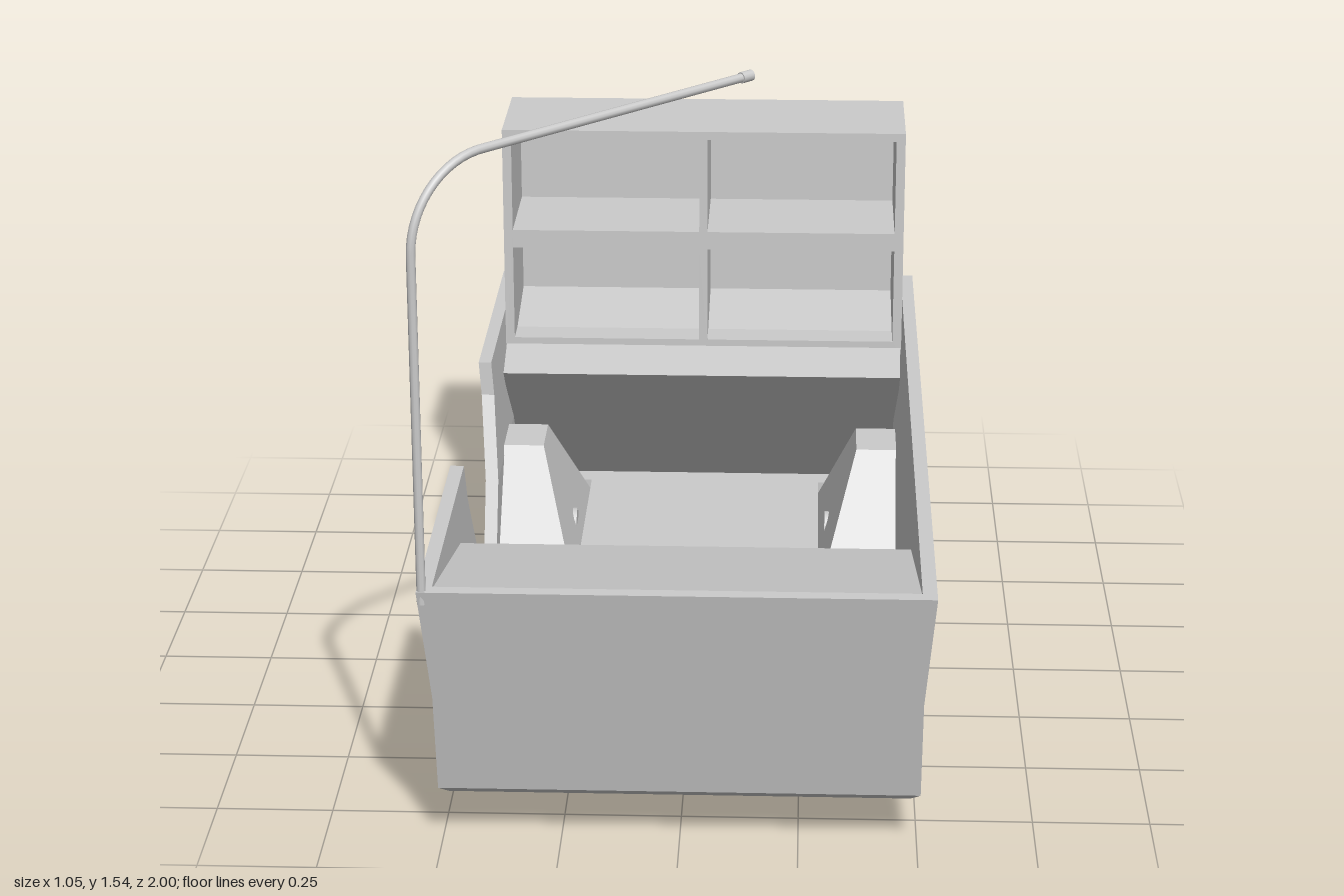
import * as THREE from 'three';
import { toCreasedNormals } from 'three/addons/utils/BufferGeometryUtils.js';

const solid = new THREE.MeshStandardMaterial({ color: 0xcccccc });
const panel = new THREE.MeshStandardMaterial({ color: 0xcccccc, side: THREE.DoubleSide });

function add(parent, name, geometry, material = panel) {
  const mesh = new THREE.Mesh(geometry, material);
  mesh.name = name;
  parent.add(mesh);
  return mesh;
}

// Flat-faced surface through rows of equally many points
function loft(rows) {
  const pos = [];
  for (let i = 0; i < rows.length - 1; i++) {
    for (let j = 0; j < rows[i].length - 1; j++) {
      const a = rows[i][j], b = rows[i][j + 1], c = rows[i + 1][j + 1], d = rows[i + 1][j];
      pos.push(...a, ...b, ...c, ...a, ...c, ...d);
    }
  }
  const g = new THREE.BufferGeometry();
  g.setAttribute('position', new THREE.Float32BufferAttribute(pos, 3));
  g.computeVertexNormals();
  return g;
}

const shapeOf = (pts) => new THREE.Shape(pts.map(([a, b]) => new THREE.Vector2(a, b)));
const rect = (x0, y0, x1, y1) => [[x0, y0], [x1, y0], [x1, y1], [x0, y1]];

// Surface spanning the body's width; profile points are [halfWidth, y, z]
const across = (profile, end) => loft([-1, 1].map((s) => profile.map(([x, y, z]) => [s * x, y, end * z])));

// Side wall plate from a [z, y] outline, leaning outwards above the arches
const ARCH = 0.365;
function sideWall(pts, side) {
  const g = new THREE.ExtrudeGeometry(shapeOf(pts), { depth: 0.03, bevelEnabled: false });
  const p = g.attributes.position;
  for (let i = 0; i < p.count; i++) {
    const z = p.getX(i), y = p.getY(i), d = p.getZ(i);
    const x = 0.505 + Math.max(0, (y - ARCH) / (0.63 - ARCH)) * 0.02;
    p.setXYZ(i, side * (x - d), y, z);
  }
  g.computeVertexNormals();
  return g;
}
const flipZ = (pts, end) => pts.map(([z, y]) => [end * z, y]);

function buildBody(root) {
  const body = new THREE.Group();
  body.name = 'body';
  root.add(body);

  // Floor with wheel notches
  const quarter = [[0.485, 0.86], [0.485, 0.79], [0.29, 0.79], [0.29, 0.15], [0.485, 0.15]];
  const half = [...quarter, ...quarter.map(([x, z]) => [x, -z]).reverse()];
  const floor = new THREE.ExtrudeGeometry(shapeOf([...half, ...half.map(([x, z]) => [-x, z]).reverse()]),
    { depth: 0.03, bevelEnabled: false });
  floor.rotateX(Math.PI / 2).translate(0, 0.14, 0);
  add(body, 'floor', floor);

  // End walls and sloping decks
  for (const end of [1, -1]) {
    const name = end > 0 ? 'front' : 'rear';
    add(body, name + 'Wall', across([[0.485, 0.11, 0.86], [0.505, 0.13, 0.885], [0.505, ARCH, 0.939],
      [0.525, 0.63, 1], [0.495, 0.63, 0.97], [0.475, ARCH, 0.909], [0.475, 0.13, 0.855]], end));
    add(body, name + 'Deck', across([[0.495, 0.625, 0.97], [0.485, 0.53, 0.52], [0.475, 0.13, 0.855]], end));
  }

  // Upper side walls: one whole, one with a doorway
  add(body, 'leftUpperWall', sideWall([[1, 0.63], [-1, 0.63], [-0.939, ARCH], [0.939, ARCH]], 1));
  for (const end of [1, -1]) {
    add(body, 'rightUpperWall', sideWall(flipZ(
      [[1, 0.63], [0.325, 0.63], [0.32, 0.55], [0.232, ARCH], [0.939, ARCH]], end), -1));
    add(body, 'doorPost', sideWall(flipZ([[0.232, ARCH], [0.42, ARCH], [0.18, 0.13], [0.12, 0.13]], end), -1));
  }
  add(body, 'leftMiddleWall', sideWall([[0.42, ARCH], [-0.42, ARCH], [-0.18, 0.13], [0.18, 0.13]], 1));

  // Lower edge: outer outline, and the chamfered inner one
  const outer = [[0.885, 0.13], [0.78, 0.13], [0.55, ARCH], [0.42, ARCH], [0.18, 0.13], [0, 0.13]];
  const inner = [[0.86, 0.11], [0.765, 0.11], [0.54, 0.345], [0.43, 0.345], [0.165, 0.11], [0, 0.11]];
  const wellOuter = [[0.79, 0.11], [0.55, 0.385], [0.41, 0.385], [0.15, 0.11]];
  const wellDepth = [0.29, 0.38, 0.38, 0.29];
  for (const side of [1, -1]) {
    for (const end of [1, -1]) {
      const at = (pts, x) => pts.map(([z, y], i) => [side * (Array.isArray(x) ? x[i] : x), y, end * z]);
      add(body, 'lowerCornerWall', sideWall(flipZ([[0.939, ARCH], [0.55, ARCH], [0.78, 0.13], [0.885, 0.13]], end), side));
      add(body, 'lowerEdge', loft([at(outer, 0.505), at(inner, 0.485)]));
      // Wheel well
      const a = at(wellOuter, 0.485), b = at(wellOuter, wellDepth);
      add(body, 'wheelWell', loft([at(inner.slice(1, 5), 0.485), a, b]));
      add(body, 'wheelWellSide', loft([[b[0], b[1]], [b[3], b[2]]]));
    }
  }
}

function buildCabinet(root) {
  const cabinet = new THREE.Group();
  cabinet.name = 'cabinet';
  root.add(cabinet);
  const face = shapeOf(rect(-0.49, 0.54, 0.49, 1.11));
  for (const [x0, x1] of [[-0.468, -0.01], [0.01, 0.468]]) {
    for (const y of [0.575, 0.855]) face.holes.push(shapeOf(rect(x0, y, x1, y + 0.235)));
  }
  const frame = new THREE.ExtrudeGeometry(face, { depth: 0.27, bevelEnabled: false });
  add(cabinet, 'shelves', frame.translate(0, 0, -0.925), solid);
  add(cabinet, 'cabinetBack', new THREE.BoxGeometry(0.98, 0.57, 0.02).translate(0, 0.825, -0.935), solid);
}

function buildWheel(side, z) {
  const wheel = new THREE.Group();
  wheel.name = 'wheel';
  // Flanged rim, dished face and hub
  const profile = [[0, 0.44], [0.155, 0.44], [0.155, 0.449], [0.136, 0.456], [0.128, 0.51], [0.113, 0.51],
    [0.107, 0.487], [0.085, 0.483], [0.05, 0.483], [0.043, 0.508], [0.03, 0.508], [0.022, 0.495], [0, 0.495]];
  const disc = new THREE.LatheGeometry(profile.map(([r, h]) => new THREE.Vector2(r, h)), 40);
  add(wheel, 'flangedWheel', toCreasedNormals(disc.rotateZ(-Math.PI / 2), 0.4), solid);
  const axle = new THREE.CylinderGeometry(0.035, 0.035, 0.14, 20).rotateZ(Math.PI / 2);
  add(wheel, 'axle', axle.translate(0.375, 0, 0), solid);
  // Wheel bolts
  for (let i = 0; i < 5; i++) {
    const t = (i / 5) * Math.PI * 2;
    const bolt = new THREE.CylinderGeometry(0.011, 0.011, 0.016, 10).rotateZ(Math.PI / 2);
    add(wheel, 'bolt', bolt.translate(0.488, Math.cos(t) * 0.087, Math.sin(t) * 0.087), solid);
  }
  wheel.position.set(0, 0.155, z);
  if (side < 0) wheel.rotation.y = Math.PI;
  return wheel;
}

function buildPole(root) {
  const v = (x, y, z) => new THREE.Vector3(x, y, z);
  const foot = v(-0.515, 0.6, 0.988), bend = v(-0.515, 1.34, 0.988);
  const arm = v(-0.385, 1.52, 0.858), tip = v(0.13, 1.53, 0.343);
  const path = new THREE.CurvePath();
  path.add(new THREE.LineCurve3(foot, bend));
  path.add(new THREE.CubicBezierCurve3(bend, v(-0.515, 1.44, 0.988), v(-0.457, 1.519, 0.93), arm));
  path.add(new THREE.LineCurve3(arm, tip));
  add(root, 'pole', new THREE.TubeGeometry(path, 90, 0.0095, 10), solid);
  // End sleeve
  const sleeve = add(root, 'poleTip', new THREE.CylinderGeometry(0.012, 0.012, 0.03, 12), solid);
  sleeve.position.set(0.122, 1.53, 0.351);
  sleeve.quaternion.setFromUnitVectors(v(0, 1, 0), tip.clone().sub(arm).normalize());
}

export function createModel() {
  const root = new THREE.Group();
  root.name = 'railCart';
  buildBody(root);
  buildCabinet(root);
  buildPole(root);
  for (const side of [1, -1]) for (const z of [0.478, -0.478]) root.add(buildWheel(side, z));
  return root;
}
